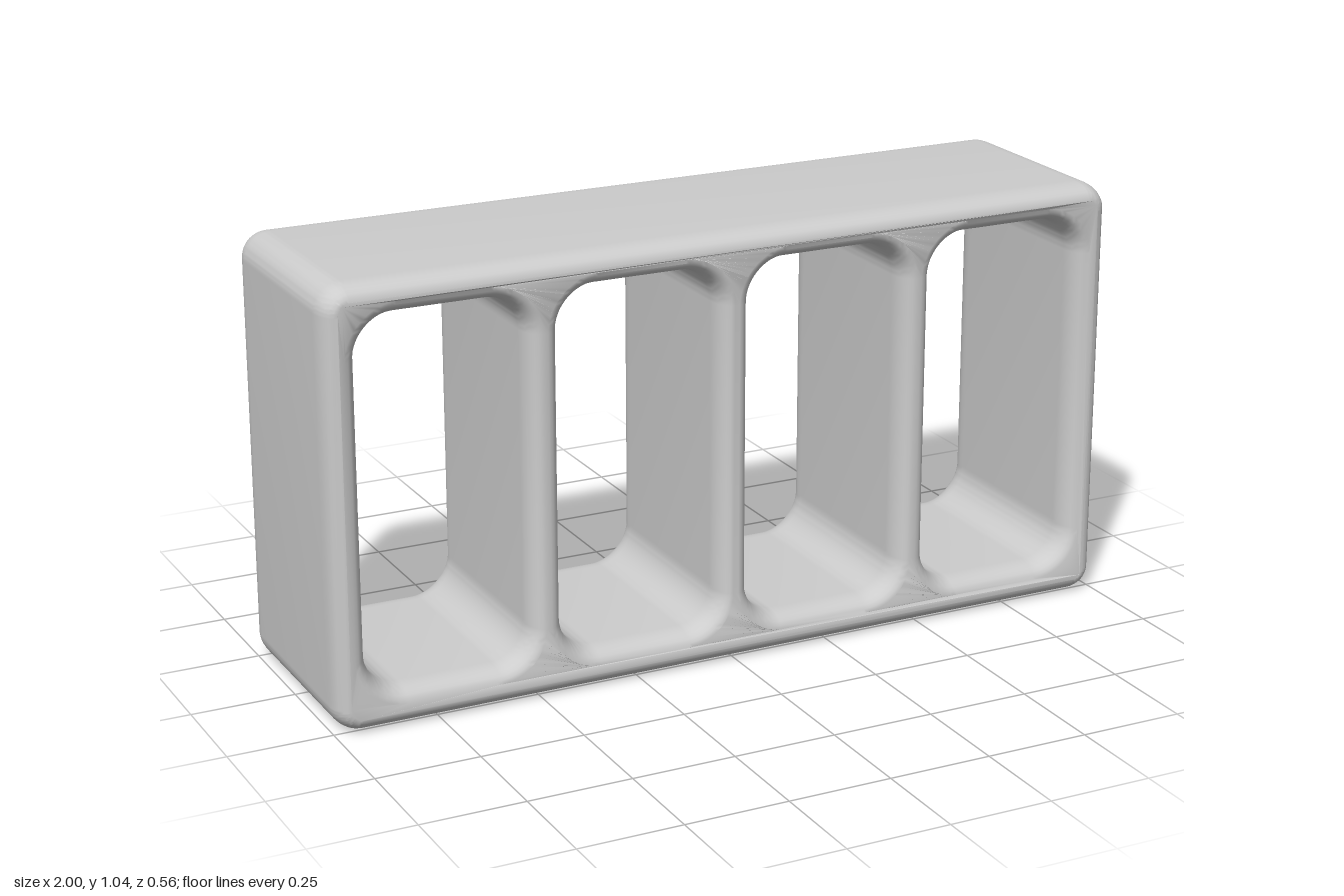
import * as THREE from 'three';
import { toCreasedNormals } from 'three/addons/utils/BufferGeometryUtils.js';

// Rounded rectangle outline, traced on a Shape or Path
function roundedRect(path, x0, y0, x1, y1, r) {
  path.moveTo(x0 + r, y0);
  path.lineTo(x1 - r, y0);
  path.absarc(x1 - r, y0 + r, r, -Math.PI / 2, 0);
  path.lineTo(x1, y1 - r);
  path.absarc(x1 - r, y1 - r, r, 0, Math.PI / 2);
  path.lineTo(x0 + r, y1);
  path.absarc(x0 + r, y1 - r, r, Math.PI / 2, Math.PI);
  path.lineTo(x0, y0 + r);
  path.absarc(x0 + r, y0 + r, r, Math.PI, Math.PI * 1.5);
  return path;
}

export function createModel() {
  const group = new THREE.Group();
  group.name = 'openShelf';
  const grey = new THREE.MeshStandardMaterial({ color: 0xcccccc });
  grey.name = 'light grey';

  // Outer frame with four open compartments
  const shape = roundedRect(new THREE.Shape(), -1, 0.003, 1, 1.045, 0.065);
  for (const cx of [-0.718, -0.239, 0.239, 0.718]) {
    shape.holes.push(roundedRect(new THREE.Path(), cx - 0.199, 0.09, cx + 0.199, 0.965, 0.09));
  }

  // Soft, pillowed front and back edges
  const halfDepth = 0.272, bevel = 0.06;
  let geometry = new THREE.ExtrudeGeometry(shape, {
    depth: 2 * (halfDepth - bevel), bevelEnabled: true, bevelThickness: bevel,
    bevelSize: 0.034, bevelOffset: -0.034, bevelSegments: 6, curveSegments: 10,
  });
  geometry.translate(0, 0, bevel - halfDepth);

  // Slight swelling where the dividers meet the top and bottom
  const pos = geometry.attributes.position;
  for (let i = 0; i < pos.count; i++) {
    const x = pos.getX(i), y = pos.getY(i), z = pos.getZ(i);
    let swell = 0;
    for (const jx of [-0.96, -0.479, 0, 0.479, 0.96]) {
      for (const jy of [0.045, 1.005]) {
        swell += Math.exp(-((x - jx) ** 2 + (y - jy) ** 2) / 0.008);
      }
    }
    pos.setZ(i, z * (1 + 0.035 * swell));
  }
  geometry = toCreasedNormals(geometry, 0.7);

  const frame = new THREE.Mesh(geometry, grey);
  frame.name = 'shelfFrame';
  group.add(frame);
  return group;
}
